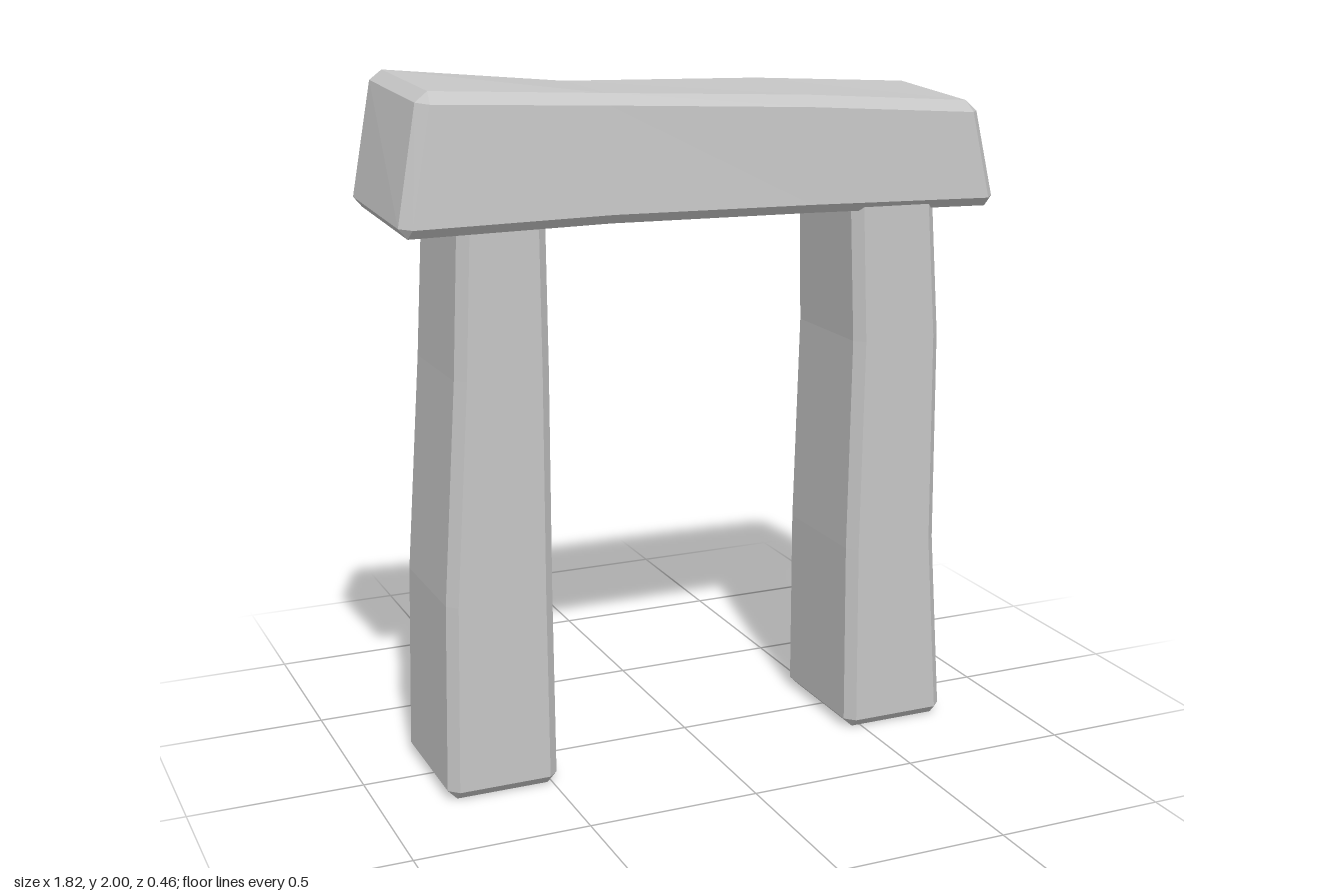
import * as THREE from 'three';

const V = (x, y, z) => new THREE.Vector3(x, y, z);
const toward = (p, q, d) => q.clone().sub(p).setLength(d);

// Bevelled stone lofted through four-cornered sections (corners counter-clockwise seen from the far end)
function stone(sections, bevel, material, name) {
  const ring = (s, inset) => s.flatMap((p, i) => {
    const a = toward(p, s[(i + 3) % 4], bevel);
    const b = toward(p, s[(i + 1) % 4], bevel);
    if (inset) { const q = p.clone().add(a).add(b); return [q, q]; }
    return [p.clone().add(a), p.clone().add(b)];
  });
  const last = sections.length - 1;
  const body = sections.map((s, k) => {
    if (k > 0 && k < last) return ring(s);
    const next = sections[k === 0 ? 1 : last - 1];
    return ring(s.map((p, i) => p.clone().add(toward(p, next[i], bevel))));
  });
  const rings = [ring(sections[0], true), ...body, ring(sections[last], true)];

  const pos = [];
  const tri = (a, b, c) => {
    if (a.equals(b) || b.equals(c) || a.equals(c)) return;
    for (const p of [a, b, c]) pos.push(p.x, p.y, p.z);
  };
  for (let k = 0; k + 1 < rings.length; k++) {
    const lo = rings[k], hi = rings[k + 1];
    for (let i = 0; i < 8; i++) {
      const j = (i + 1) % 8;
      tri(lo[i], lo[j], hi[j]);
      tri(lo[i], hi[j], hi[i]);
    }
  }
  // End caps
  const s = rings[0], e = rings[rings.length - 1];
  tri(s[0], s[4], s[2]); tri(s[0], s[6], s[4]);
  tri(e[0], e[2], e[4]); tri(e[0], e[4], e[6]);

  const geometry = new THREE.BufferGeometry();
  geometry.setAttribute('position', new THREE.Float32BufferAttribute(pos, 3));
  geometry.computeVertexNormals();
  const mesh = new THREE.Mesh(geometry, material);
  mesh.name = name;
  return mesh;
}

// Upright section: height, x range, z range
const level = ([y, x0, x1, z0, z1]) => [V(x0, y, z1), V(x1, y, z1), V(x1, y, z0), V(x0, y, z0)];

export function createModel() {
  const group = new THREE.Group();
  group.name = 'stoneArch';
  const grey = new THREE.MeshStandardMaterial({ color: 0xc4c4c4 });
  grey.name = 'stoneGrey';

  // Uprights, tapering and slightly bent
  group.add(stone([
    [0, -0.81, -0.485, -0.2, 0.22],
    [0.57, -0.795, -0.485, -0.2, 0.21],
    [1.2, -0.75, -0.48, -0.195, 0.2],
    [1.68, -0.725, -0.48, -0.185, 0.19],
  ].map(level), 0.028, grey, 'rightUpright'));
  group.add(stone([
    [0, 0.445, 0.775, -0.2, 0.22],
    [0.57, 0.445, 0.74, -0.2, 0.21],
    [1.2, 0.46, 0.74, -0.195, 0.2],
    [1.68, 0.445, 0.71, -0.185, 0.19],
  ].map(level), 0.028, grey, 'leftUpright'));

  // Lintel: corners run front-bottom, back-bottom, back-top, front-top
  group.add(stone([
    [V(-0.9, 1.592, 0.23), V(-0.92, 1.63, -0.21), V(-0.855, 2.005, -0.2), V(-0.825, 1.97, 0.2)],
    [V(-0.3, 1.595, 0.217), V(-0.3, 1.635, -0.232), V(-0.3, 1.95, -0.2), V(-0.3, 1.945, 0.19)],
    [V(0.3, 1.584, 0.212), V(0.3, 1.628, -0.24), V(0.3, 1.938, -0.2), V(0.3, 1.915, 0.188)],
    [V(0.917, 1.568, 0.205), V(0.89, 1.608, -0.232), V(0.82, 1.91, -0.198), V(0.855, 1.875, 0.185)],
  ], 0.03, grey, 'lintel'));

  return group;
}
